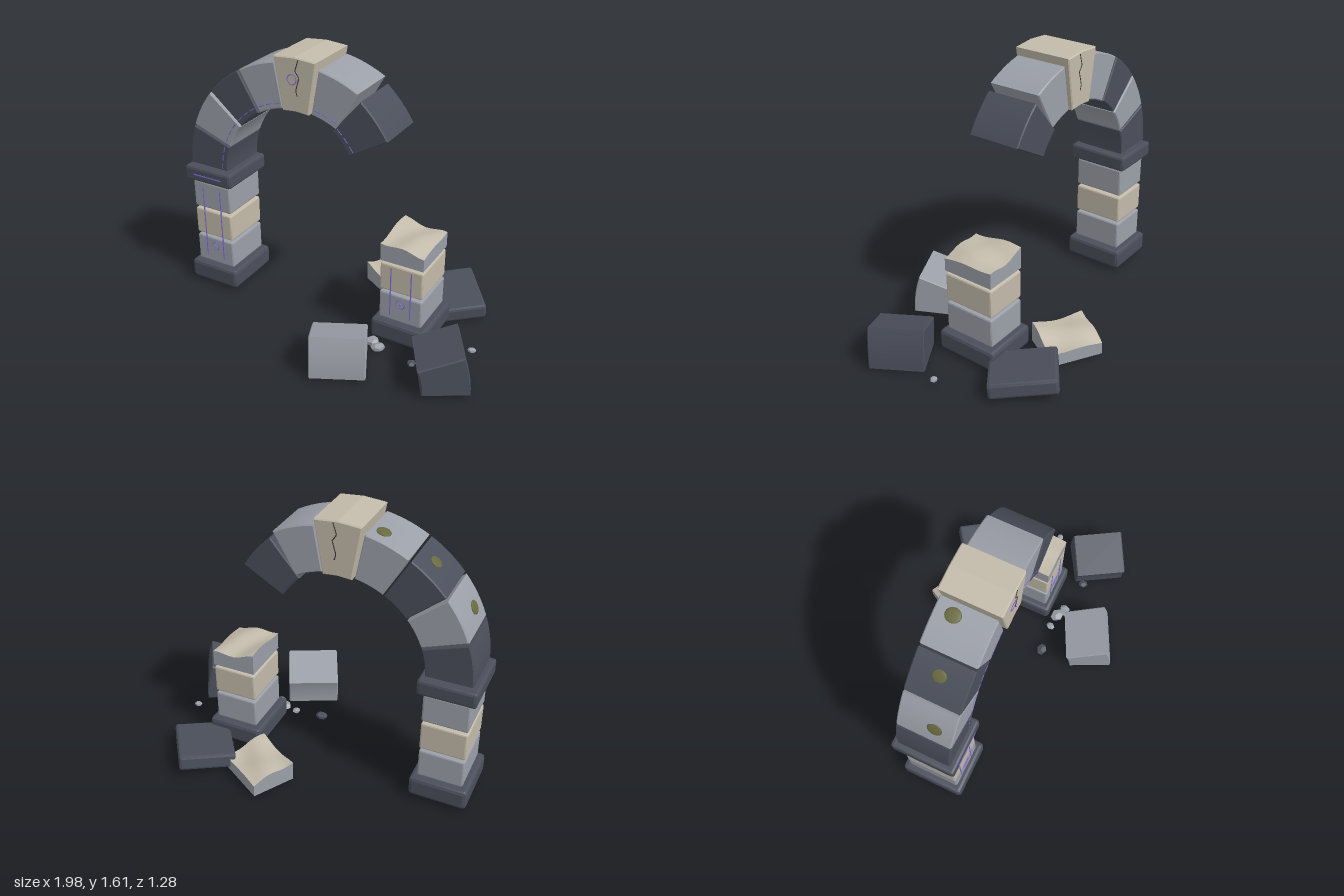
import * as THREE from 'three';
import { toCreasedNormals } from 'three/addons/utils/BufferGeometryUtils.js';
import { RoundedBoxGeometry } from 'three/addons/geometries/RoundedBoxGeometry.js';

const paint = (color) => new THREE.MeshStandardMaterial({ color });
const dark = paint(0x4b4f5b), grey = paint(0x9b9fa8), tan = paint(0xc3bbaa);
const glow = paint(0x8468dc), moss = paint(0x68693f), crackMat = paint(0x3c3a38);

const Z = -0.052;                       // centre plane of the arch
const DEPTH = 0.312, WIDTH = 0.262;     // block size
const AX = -0.2, AY = 0.82;             // centre of the arch circle
const R0 = 0.493, R1 = 0.755;           // inner and outer arch radius
const FRONT = Z + DEPTH / 2;
const rad = THREE.MathUtils.degToRad;

function add(parent, name, geometry, material, x = 0, y = 0, z = 0) {
  const mesh = new THREE.Mesh(geometry, material);
  mesh.name = name;
  mesh.position.set(x, y, z);
  parent.add(mesh);
  return mesh;
}

// Chamfered block given by its bottom and top height
function block(parent, name, mat, w, d, x, y0, y1, z, bevel = 0.01) {
  const g = toCreasedNormals(new RoundedBoxGeometry(w, y1 - y0, d, 1, bevel), 0.3);
  return add(parent, name, g, mat, x, (y0 + y1) / 2, z);
}

// Wedge stone between two radii and two angles (degrees), centred on z = 0
function wedge(r0, r1, a0, a1, depth, segments, crease = 0.4) {
  const b = 0.006, s = new THREE.Shape();
  for (let i = 0; i <= segments; i++) {
    const a = rad(a0 + (a1 - a0) * i / segments);
    if (i) s.lineTo(r1 * Math.cos(a), r1 * Math.sin(a));
    else s.moveTo(r1 * Math.cos(a), r1 * Math.sin(a));
  }
  for (let i = segments; i >= 0; i--) {
    const a = rad(a0 + (a1 - a0) * i / segments);
    s.lineTo(r0 * Math.cos(a), r0 * Math.sin(a));
  }
  const g = new THREE.ExtrudeGeometry(s, {
    depth: depth - 2 * b, bevelThickness: b, bevelSize: b, bevelOffset: -b, bevelSegments: 1,
  });
  g.translate(0, 0, -depth / 2 + b);
  return toCreasedNormals(g, crease);
}

// Grey block whose tan top is an uneven break; origin at its base
function brokenBlock(parent, name, height, phase) {
  const g = new THREE.BoxGeometry(WIDTH, height, DEPTH, 8, 1, 8);
  const p = g.attributes.position;
  for (let i = 0; i < p.count; i++) {
    if (p.getY(i) < 0) continue;
    const x = p.getX(i), z = p.getZ(i);
    p.setY(i, p.getY(i) - 0.12 * x + 0.011 * Math.sin(26 * x + 9 * z + phase)
      + 0.008 * Math.cos(19 * z - 8 * x + phase));
  }
  g.translate(0, height / 2, 0);
  g.computeVertexNormals();
  return add(parent, name, g, [grey, grey, tan, grey, grey, grey]);
}

// Plinth, lower blocks and glowing marks shared by both pillars
function pillar(name, x, lineTop) {
  const g = new THREE.Group();
  g.name = name;
  g.position.x = x;
  block(g, 'plinth', dark, 0.336, 0.38, 0, 0.027, 0.148, Z, 0.02);
  block(g, 'lowerBlock', grey, WIDTH, DEPTH, 0, 0.155, 0.33, Z);
  block(g, 'middleBlock', tan, WIDTH, DEPTH, 0, 0.346, 0.517, Z);
  for (const s of [-1, 1])
    add(g, 'glowLine', new THREE.BoxGeometry(0.006, lineTop - 0.19, 0.006), glow,
      s * 0.062, (lineTop + 0.19) / 2, FRONT);
  add(g, 'hexMark', new THREE.TorusGeometry(0.029, 0.003, 4, 6), glow, 0, 0.275, FRONT);
  add(g, 'hexMarkDot', new THREE.SphereGeometry(0.006, 8, 6), glow, 0, 0.275, FRONT);
  return g;
}

function arch() {
  const g = new THREE.Group();
  g.name = 'arch';
  g.position.set(AX, AY, Z);
  for (let i = 0; i < 7; i++) {
    const mid = 170 - 20 * i;
    if (i === 4) {
      add(g, 'keystone', wedge(0.49, 0.795, mid - 9.5, mid + 9.5, 0.345, 2, 0.1), tan);
      continue;
    }
    const stone = new THREE.Group();
    stone.name = 'archStone';
    add(stone, 'stone', wedge(R0, R1, mid - 9.5, mid + 9.5, DEPTH, 6), i % 2 ? grey : dark);
    // dashed glowing line along the inner edge
    for (let k = 0; k < 3; k++) {
      const dash = add(stone, 'glowDash',
        new THREE.TorusGeometry(0.526, 0.003, 4, 4, rad(4)), glow, 0, 0, DEPTH / 2);
      dash.rotation.z = rad(mid - 8 + 6 * k);
    }
    if (i === 6) {                      // the last stone has slipped and tipped down
      const t = rad(-10), c = new THREE.Vector3(0.401, 0.478, 0);
      const turned = c.clone().applyAxisAngle(new THREE.Vector3(0, 0, 1), t);
      stone.rotation.z = t;
      stone.position.copy(c.sub(turned)).add(new THREE.Vector3(-0.026, -0.033, 0));
    }
    g.add(stone);
  }
  // keystone ring mark and cracks on both faces
  add(g, 'ringMark', new THREE.TorusGeometry(0.028, 0.003, 4, 20), glow, -0.017, 0.67, 0.173);
  const pts = [[0.025, 0.785], [0.004, 0.72], [0.028, 0.685], [0.006, 0.61], [0.016, 0.58]]
    .map(([x, y]) => new THREE.Vector3(x, y, 0));
  const path = new THREE.CurvePath();
  for (let i = 1; i < pts.length; i++) path.add(new THREE.LineCurve3(pts[i - 1], pts[i]));
  for (const s of [-1, 1])
    add(g, 'crack', new THREE.TubeGeometry(path, 24, 0.0035, 4), crackMat, 0, 0, s * 0.172);
  // moss on the outer curve
  for (const [deg, z, size] of [[152, 0.05, 0.045], [128, -0.005, 0.042], [105.4, -0.055, 0.046]]) {
    const a = rad(deg);
    const m = add(g, 'mossPatch', new THREE.SphereGeometry(size, 12, 8), moss,
      R1 * Math.cos(a), R1 * Math.sin(a), z);
    m.scale.set(0.14, 0.85, 0.95);
    m.rotation.z = a;
  }
  return g;
}

function rubble() {
  const g = new THREE.Group();
  g.name = 'rubble';
  // two fallen arch stones resting on a side face
  for (const [mat, x, z, turn] of [[grey, 0.251, 0.447, -1.116], [dark, 0.795, 0.266, 0.535]]) {
    const geo = wedge(R0, R1, 0, 19, DEPTH, 6);
    geo.translate(-(R0 + R1) / 2, 0, 0);
    add(g, 'fallenArchStone', geo, mat, x, 0.02, z).rotation.y = turn;
  }
  // fallen cap, tilted
  const cap = block(g, 'fallenCap', dark, 0.326, 0.375, 0.565, 0.033, 0.123, -0.406, 0.015);
  cap.rotation.set(rad(7.5), 0.63, 0);
  // broken-off block half
  const half = brokenBlock(g, 'fallenBlockHalf', 0.1, 2);
  half.position.set(0.187, 0.02, -0.425);
  half.rotation.y = 1.035;
  // pebbles: material, x, z, size
  const pebbles = [[dark, 0.075, 0.195, 0.038], [grey, 0.245, 0.18, 0.028], [grey, 0.33, 0.19, 0.046],
    [grey, 0.38, 0.222, 0.042], [dark, 0.605, 0.255, 0.03], [grey, 0.85, -0.02, 0.025],
    [dark, 0.465, -0.28, 0.025]];
  pebbles.forEach(([mat, x, z, size], i) => {
    const p = add(g, 'pebble', new THREE.DodecahedronGeometry(size, 0), mat, x, 0.02 + size * 0.35, z);
    p.scale.set(1, 0.5, 0.85);
    p.rotation.y = i * 1.3;
  });
  return g;
}

export function createModel() {
  const model = new THREE.Group();
  model.name = 'ruinedArch';

  const whole = pillar('wholePillar', -0.824, 0.67);
  block(whole, 'upperBlock', grey, WIDTH, DEPTH, 0, 0.533, 0.709, Z);
  block(whole, 'cap', dark, 0.326, 0.375, 0, 0.72, 0.812, Z, 0.015);
  add(whole, 'capGlowLine', new THREE.BoxGeometry(0.2, 0.006, 0.006), glow, 0, 0.765, Z + 0.1875);

  const broken = pillar('brokenPillar', 0.453, 0.5);
  brokenBlock(broken, 'brokenTopBlock', 0.105, 0).position.set(0, 0.533, Z);

  model.add(whole, broken, arch(), rubble());
  return model;
}
